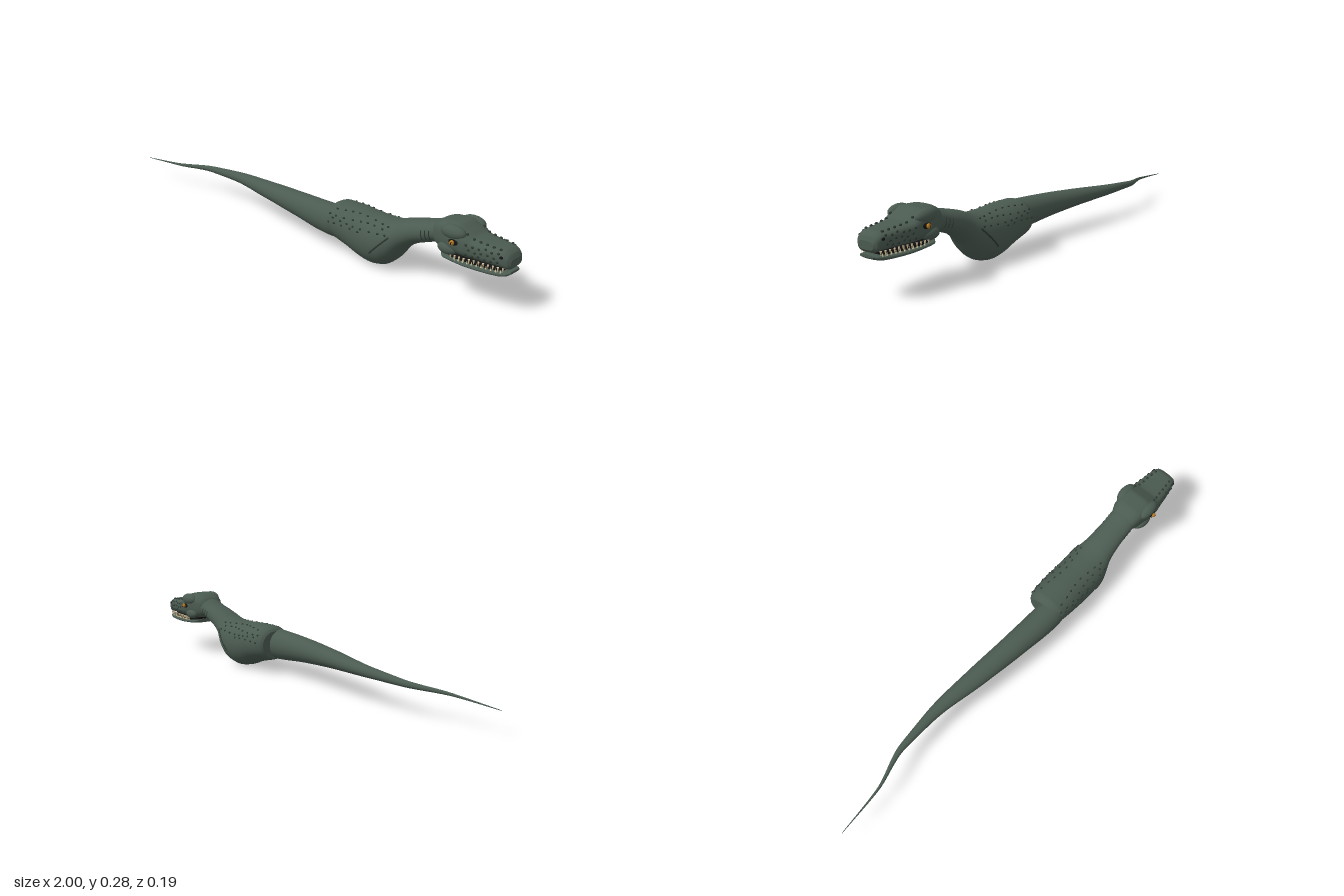
import * as THREE from 'three';
import { mergeGeometries } from 'three/addons/utils/BufferGeometryUtils.js';

const mat = (name, color, side = THREE.FrontSide) => {
  const m = new THREE.MeshStandardMaterial({ color, side });
  m.name = name;
  return m;
};

// Cross-section rows: [x, top y, bottom y, centre z, half width]
const TAIL = [
  [-1, 0.094, 0.092, 0.026, 0.001], [-0.8, 0.111, 0.1, 0.014, 0.005], [-0.6, 0.13, 0.103, -0.032, 0.014],
  [-0.45, 0.143, 0.102, -0.034, 0.023], [-0.2, 0.163, 0.092, -0.008, 0.042], [0, 0.176, 0.077, 0.014, 0.051],
  [0.2, 0.184, 0.057, 0.028, 0.058], [0.27, 0.186, 0.055, 0.02, 0.058],
];
const TORSO = [
  [0.195, 0.18, 0.065, 0, 0.065], [0.205, 0.191, 0.056, 0, 0.076], [0.23, 0.2, 0.05, 0, 0.086],
  [0.3, 0.2, 0.031, 0, 0.091], [0.36, 0.197, 0.009, 0, 0.092], [0.41, 0.195, 0, 0, 0.092], [0.46, 0.195, 0.009, 0, 0.091],
  [0.5, 0.2, 0.038, 0, 0.083], [0.55, 0.217, 0.1, 0, 0.066], [0.6, 0.231, 0.137, 0, 0.06],
  [0.65, 0.243, 0.157, 0, 0.057], [0.7, 0.258, 0.174, 0, 0.057], [0.76, 0.265, 0.18, 0, 0.055],
];
const SKULL = [
  [0.685, 0.247, 0.19, 0, 0.045], [0.705, 0.267, 0.176, 0, 0.06], [0.74, 0.279, 0.168, 0, 0.069],
  [0.79, 0.28, 0.167, 0, 0.079], [0.83, 0.261, 0.167, 0, 0.077], [0.86, 0.245, 0.167, 0, 0.069],
  [0.92, 0.238, 0.168, 0, 0.061], [0.97, 0.234, 0.167, 0, 0.053], [0.99, 0.223, 0.165, 0, 0.046], [1, 0.205, 0.175, 0, 0.034],
];
const JAW = [
  [0.73, 0.162, 0.148, 0, 0.05], [0.75, 0.16, 0.142, 0, 0.066], [0.82, 0.155, 0.137, 0, 0.069],
  [0.9, 0.153, 0.133, 0, 0.059], [0.96, 0.156, 0.135, 0, 0.05], [0.985, 0.158, 0.141, 0, 0.043], [0.997, 0.158, 0.149, 0, 0.03],
];

// Monotone cubic interpolation between the rows
function section(rows, x) {
  let i = 0;
  while (i < rows.length - 2 && x > rows[i + 1][0]) i++;
  const d = (k, c) => (rows[k + 1][c] - rows[k][c]) / (rows[k + 1][0] - rows[k][0]);
  const slope = (k, c) => {
    if (k === 0) return d(0, c);
    if (k === rows.length - 1) return d(k - 1, c);
    const a = d(k - 1, c), b = d(k, c);
    return a * b <= 0 ? 0 : (2 * a * b) / (a + b);
  };
  const h = rows[i + 1][0] - rows[i][0], t = (x - rows[i][0]) / h;
  const val = c => (2 * t ** 3 - 3 * t * t + 1) * rows[i][c] + (t ** 3 - 2 * t * t + t) * h * slope(i, c)
    + (3 * t * t - 2 * t ** 3) * rows[i + 1][c] + (t ** 3 - t * t) * h * slope(i + 1, c);
  const top = val(1), bottom = val(2);
  return { y: (top + bottom) / 2, h: (top - bottom) / 2, z: val(3), w: val(4) };
}

// Point on the side of a loft at a given x and y
function sidePoint(rows, n, x, y, side) {
  const s = section(rows, x), t = Math.min(1, Math.abs((y - s.y) / s.h));
  return new THREE.Vector3(x, y, s.z + side * s.w * (1 - t ** n) ** (1 / n));
}

// Closed skin through superellipse cross-sections along x
function loft(rows, n, steps = 6, sides = 40) {
  const pos = [], idx = [], xs = [];
  rows.slice(0, -1).forEach((r, i) => {
    for (let k = 0; k < steps; k++) xs.push(r[0] + (rows[i + 1][0] - r[0]) * k / steps);
  });
  xs.push(rows.at(-1)[0]);
  const pw = v => Math.sign(v) * Math.abs(v) ** (2 / n);
  const ring = x => {
    const s = section(rows, x);
    for (let j = 0; j < sides; j++) {
      const a = j / sides * Math.PI * 2;
      pos.push(x, s.y + s.h * pw(Math.sin(a)), s.z + s.w * pw(Math.cos(a)));
    }
    return s;
  };
  xs.forEach(ring);
  for (let i = 0; i < xs.length - 1; i++) for (let j = 0; j < sides; j++) {
    const a = i * sides + j, b = i * sides + (j + 1) % sides;
    idx.push(a, a + sides, b, b, a + sides, b + sides);
  }
  for (const [x, end] of [[xs[0], false], [xs.at(-1), true]]) {
    const base = pos.length / 3, s = ring(x), c = base + sides;
    pos.push(x, s.y, s.z);
    for (let j = 0; j < sides; j++) {
      const k = base + (j + 1) % sides;
      end ? idx.push(c, k, base + j) : idx.push(c, base + j, k);
    }
  }
  const g = new THREE.BufferGeometry();
  g.setAttribute('position', new THREE.Float32BufferAttribute(pos, 3));
  g.setIndex(idx);
  g.computeVertexNormals();
  return g;
}

export function createModel() {
  const model = new THREE.Group();
  const hide = mat('hide green', 0x4b5b51), scale = mat('dark scale', 0x2f3a33), black = mat('mouth black', 0x141414);
  const ivory = mat('tooth ivory', 0xd6c49c), amber = mat('eye amber', 0xb87a22);
  const add = (name, geo, m) => {
    const mesh = new THREE.Mesh(geo, m);
    mesh.name = name;
    model.add(mesh);
    return mesh;
  };
  const ball = (p, sx, sy, sz, seg = 8) => new THREE.SphereGeometry(1, seg, Math.ceil(seg * 0.75)).scale(sx, sy, sz).translate(p.x, p.y, p.z);

  // Body skins
  add('tail', loft(TAIL, 2, 10), hide);
  add('torsoAndNeck', loft(TORSO, 2.1), hide);
  add('skull', loft(SKULL, 3), hide);
  add('lowerJaw', loft(JAW, 2.8), hide);

  // Dark gap between the jaws, and the jaw hinge
  const gap = [[0.74, 0.172, 0.15, 0, 0.045], [0.8, 0.172, 0.15, 0, 0.062], [0.88, 0.172, 0.148, 0, 0.053], [0.95, 0.172, 0.15, 0, 0.04], [0.97, 0.17, 0.152, 0, 0.025]];
  add('mouthInterior', loft(gap, 3, 3, 24), black);

  const bumps = [], teeth = [], folds = [];
  for (const side of [1, -1]) {
    const at = (x, y, z) => new THREE.Vector3(x, y, z * side);

    // Brow ridge, eye with dark lids and slit pupil
    add('browRidge', ball(at(0.785, 0.252, 0.06), 0.05, 0.026, 0.025, 24), hide);
    add('cheek', ball(at(0.765, 0.187, 0.062), 0.04, 0.022, 0.02, 20), hide);
    add('eyeSocket', ball(at(0.797, 0.223, 0.075), 0.021, 0.012, 0.008, 16), black);
    add('eye', ball(at(0.797, 0.223, 0.085), 0.009, 0.009, 0.008, 16), amber);
    add('pupil', ball(at(0.798, 0.223, 0.0915), 0.0025, 0.006, 0.002), black);
    add('nostril', ball(sidePoint(SKULL, 3, 0.972, 0.212, side), 0.007, 0.005, 0.004, 12), black);

    // Teeth along both jaw edges
    for (let i = 0; i < 12; i++) {
      const x = 0.785 + i * 0.0175, big = 0.016 + 0.005 * (i % 3 === 1);
      const zu = section(SKULL, x).w - 0.008, zl = section(JAW, x).w - 0.008;
      teeth.push(new THREE.ConeGeometry(0.0042, big, 7).rotateX(Math.PI).translate(x, 0.172 - big / 2, zu * side));
      if (i < 11) teeth.push(new THREE.ConeGeometry(0.0034, 0.014, 7).translate(x + 0.009, 0.159, zl * side));
    }

    // Scale bumps in staggered rows on flank, snout and brow
    for (let r = 0; r < 4; r++) for (let i = 0; i < 8; i++) {
      const x = 0.225 + i * 0.036 + (r % 2) * 0.018 + 0.005 * Math.sin(i * 5 + r * 3);
      const y = 0.135 + r * 0.017 + 0.004 * Math.sin(i * 7 + r * 2);
      if (x < 0.51 && (r > 0 || i < 5)) bumps.push(ball(sidePoint(TORSO, 2.1, x, y, side), 0.006, 0.0042, 0.0035));
    }
    for (let r = 0; r < 3; r++) for (let i = 0; i < 6; i++) {
      const x = 0.845 + i * 0.023 + (r % 2) * 0.01, y = 0.19 + r * 0.016 + 0.003 * Math.sin(i * 4 + r);
      if (x < 0.965) bumps.push(ball(sidePoint(SKULL, 3, x, y, side), 0.0055, 0.0045, 0.0035));
    }
    for (let i = 0; i < 6; i++) {
      const x = 0.835 + i * 0.025, s = section(SKULL, x);
      bumps.push(ball(at(x, s.y + s.h * 0.93, s.w * 0.66), 0.006, 0.005, 0.005));
    }

    // Skin creases: shoulder fold and neck wrinkles
    const crease = (x0, y0, x1, y1, r) => {
      const pts = [0, 0.25, 0.5, 0.75, 1].map(t => sidePoint(TORSO, 2.1, x0 + (x1 - x0) * t, y0 + (y1 - y0) * t, side));
      folds.push(new THREE.TubeGeometry(new THREE.CatmullRomCurve3(pts), 16, r, 6));
    };
    crease(0.435, 0.07, 0.515, 0.152, 0.0035);
    for (let i = 0; i < 3; i++) crease(0.648 + i * 0.017, 0.178 + i * 0.005, 0.642 + i * 0.017, 0.212 + i * 0.005, 0.002);
  }
  add('scaleBumps', mergeGeometries(bumps), scale);
  add('teeth', mergeGeometries(teeth), ivory);
  add('skinCreases', mergeGeometries(folds), scale);
  return model;
}
